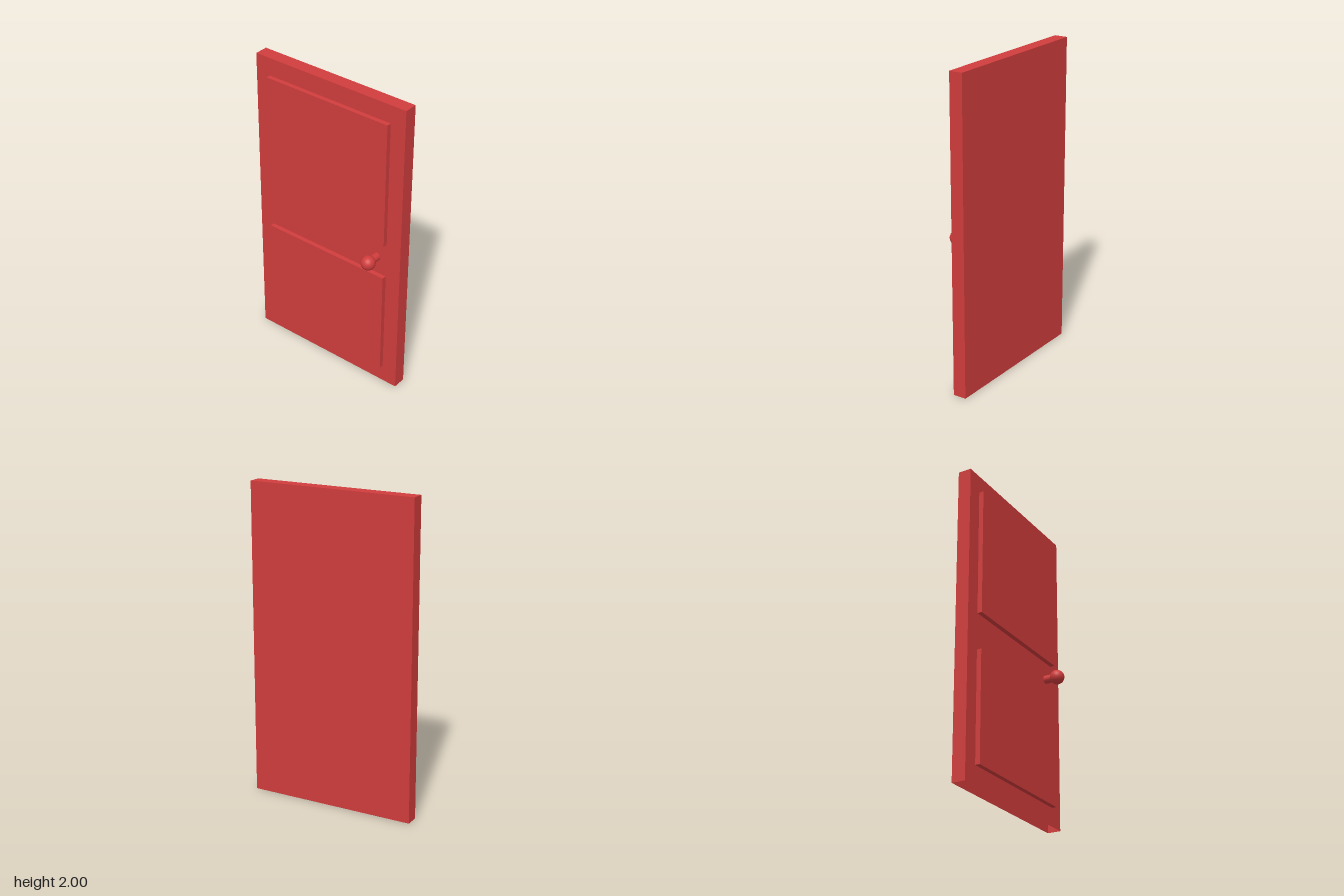
import * as THREE from 'three';

const material = new THREE.MeshStandardMaterial({ color: 0xd03c3c, side: THREE.DoubleSide });

// Box between two corners, leaving out one side (0 +x, 1 -x, 2 +y, 3 -y, 4 +z, 5 -z)
function openBox(name, min, max, openSide) {
  const size = max.map((v, i) => v - min[i]);
  const geometry = new THREE.BoxGeometry(...size);
  const index = Array.from(geometry.index.array);
  index.splice(openSide * 6, 6);
  geometry.setIndex(index);
  geometry.clearGroups();
  const mesh = new THREE.Mesh(geometry, material);
  mesh.name = name;
  mesh.position.set(...min.map((v, i) => v + size[i] / 2));
  return mesh;
}

export function createModel() {
  const door = new THREE.Group();
  door.name = 'door';
  const face = 0.022;

  // Door slab, hollow and open underneath
  door.add(openBox('slab', [face, 0, -0.545], [0.108, 2, 0.545], 3));

  // Raised panels, open where they meet the slab
  door.add(openBox('lowerPanel', [-0.008, 0.12, -0.443], [face, 0.825, 0.443], 0));
  door.add(openBox('upperPanel', [-0.008, 1.06, -0.443], [face, 1.885, 0.443], 0));

  // Round knob on a short stem
  const handle = new THREE.Group();
  handle.name = 'handle';
  handle.position.set(face, 0.943, 0.373);
  const stem = new THREE.Mesh(new THREE.CylinderGeometry(0.026, 0.026, 0.06, 32, 1, true), material);
  stem.name = 'stem';
  stem.rotation.z = Math.PI / 2;
  stem.position.x = -0.03;
  const knob = new THREE.Mesh(new THREE.SphereGeometry(0.046, 32, 20), material);
  knob.name = 'knob';
  knob.position.x = -0.085;
  handle.add(stem, knob);
  door.add(handle);

  return door;
}
